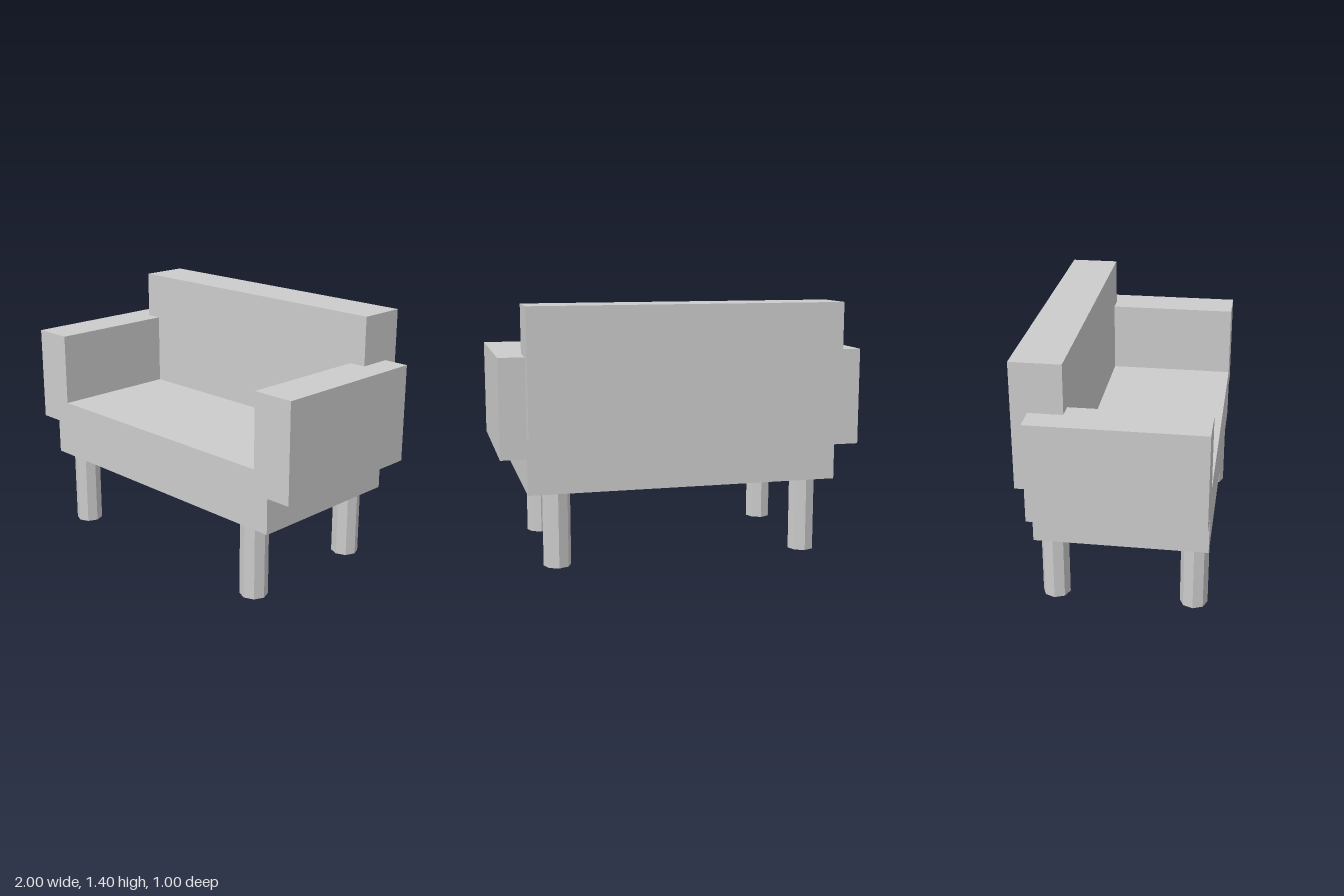
import * as THREE from 'three';

const material = new THREE.MeshStandardMaterial({ color: 0xcccccc, flatShading: true });

// Box given by its min and max corners
function box(name, [x0, y0, z0], [x1, y1, z1]) {
  const mesh = new THREE.Mesh(new THREE.BoxGeometry(x1 - x0, y1 - y0, z1 - z0), material);
  mesh.position.set((x0 + x1) / 2, (y0 + y1) / 2, (z0 + z1) / 2);
  mesh.name = name;
  return mesh;
}

export function createModel() {
  const sofa = new THREE.Group();
  sofa.name = 'sofa';

  // Seat block and backrest
  sofa.add(box('seat', [-0.86, 0.41, -0.413], [0.86, 0.735, 0.5]));
  sofa.add(box('backrest', [-0.86, 0.71, -0.5], [0.86, 1.405, -0.232]));

  // Armrests, overhanging the sides of the seat
  sofa.add(box('leftArmrest', [0.767, 0.605, -0.413], [1, 1.14, 0.5]));
  sofa.add(box('rightArmrest', [-1, 0.605, -0.413], [-0.767, 1.14, 0.5]));

  // Four eight-sided legs
  const legHeight = 0.41;
  const legGeometry = new THREE.CylinderGeometry(0.075, 0.075, legHeight, 8);
  for (const [side, x] of [['Left', 0.7], ['Right', -0.7]]) {
    for (const [end, z] of [['front', 0.42], ['back', -0.332]]) {
      const leg = new THREE.Mesh(legGeometry, material);
      leg.name = `${end}${side}Leg`;
      leg.position.set(x, legHeight / 2, z);
      sofa.add(leg);
    }
  }

  return sofa;
}
